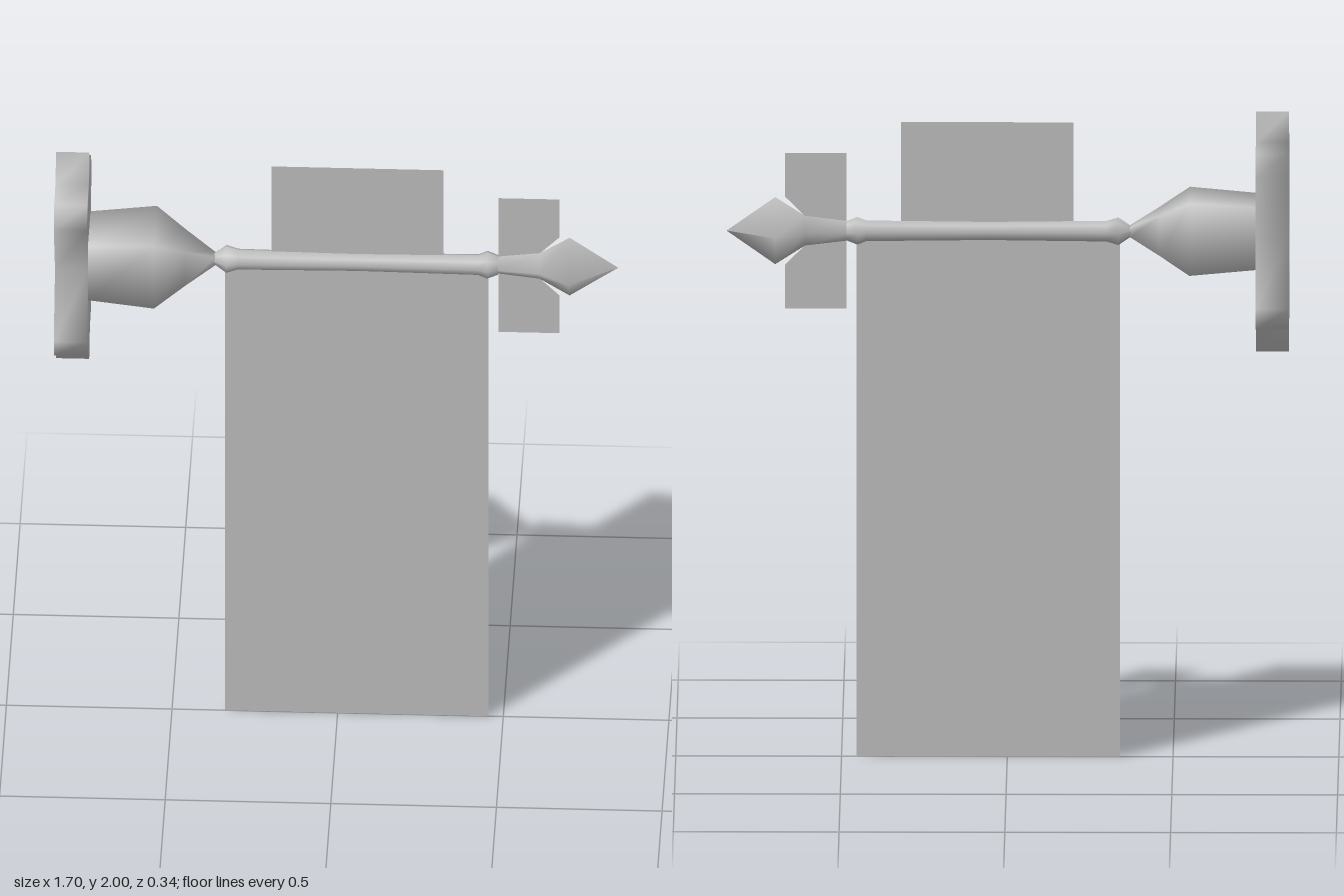
import * as THREE from 'three';
import { mergeVertices } from 'three/addons/utils/BufferGeometryUtils.js';

const AXIS_Y = 1.628; // height of the pole

export function createModel() {
  const group = new THREE.Group();
  const grey = new THREE.MeshStandardMaterial({ color: 0xbfbfbf, side: THREE.DoubleSide });
  grey.name = 'grey';

  function add(name, geometry) {
    const mesh = new THREE.Mesh(geometry, grey);
    mesh.name = name;
    group.add(mesh);
    return mesh;
  }

  // A profile of [x, radius] pairs turned around the horizontal pole axis
  function turned(name, profile, sides, twist = 0) {
    const points = profile.map(([x, r]) => new THREE.Vector2(r, x));
    const geometry = new THREE.LatheGeometry(points, sides);
    geometry.rotateY(twist);
    geometry.rotateZ(-Math.PI / 2);
    add(name, geometry).position.y = AXIS_Y;
  }

  // A flat cloth sheet in the plane z = 0
  function sheet(name, corners) {
    const shape = new THREE.Shape(corners.map(([x, y]) => new THREE.Vector2(x, y)));
    add(name, new THREE.ShapeGeometry(shape));
  }

  // Wall plate: ornamental outline, one quarter mirrored twice, hollow at the back
  const quarter = [[0.048, 0.287], [0.138, 0.272], [0.17, 0.202]];
  const outline = [
    [0, 0.372], ...quarter, [0.08, 0],
    ...quarter.map(([z, y]) => [z, -y]).reverse(), [0, -0.372],
    ...quarter.map(([z, y]) => [-z, -y]), [-0.08, 0],
    ...quarter.map(([z, y]) => [-z, y]).reverse(),
  ];
  const plateShape = new THREE.Shape(outline.map(([z, y]) => new THREE.Vector2(z, y)));
  const opening = [[-0.05, -0.09], [0.05, -0.09], [0.05, 0.09], [-0.05, 0.09]];
  plateShape.holes.push(new THREE.Path(opening.map(([z, y]) => new THREE.Vector2(z, y))));
  let plate = new THREE.ExtrudeGeometry(plateShape, { depth: 0.1, bevelEnabled: false });
  plate.deleteAttribute('normal');
  plate.deleteAttribute('uv');
  plate = mergeVertices(plate);
  plate.clearGroups();
  plate.computeVertexNormals();
  plate.rotateY(Math.PI / 2);
  add('wallPlate', plate).position.set(-0.85, AXIS_Y, 0);

  // Square bracket tapering to the pole
  const corner = Math.SQRT2;
  turned('bracket', [
    [-0.75, 0.097 * corner], [-0.55, 0.112 * corner], [-0.46, 0.062 * corner],
    [-0.37, 0.015 * corner],
  ], 4, Math.PI / 4);

  // Pole with a bead at each end
  turned('pole', [
    [-0.38, 0.012], [-0.335, 0.043], [-0.3, 0.032], [0.06, 0.028],
    [0.425, 0.032], [0.452, 0.043], [0.485, 0.03],
  ], 8);

  // Four-sided pointed finial
  turned('finial', [[0.48, 0.03], [0.61, 0.046], [0.7, 0.104], [0.847, 0]], 4);

  // Hanging banner and the strip standing above the pole
  sheet('banner', [[-0.34, 0], [0.455, 0], [0.455, 1.61], [-0.34, 1.61]]);
  sheet('upperStrip', [[-0.2, 1.65], [0.32, 1.65], [0.32, 1.965], [-0.2, 1.965]]);

  // Small tabs above and below the finial neck
  for (const s of [1, -1]) {
    const tab = [[0.485, 0.02], [0.61, 0.045], [0.67, 0.105], [0.67, 0.241], [0.485, 0.241]];
    sheet(s > 0 ? 'upperTab' : 'lowerTab', tab.map(([x, y]) => [x, AXIS_Y + s * y]));
  }

  return group;
}
